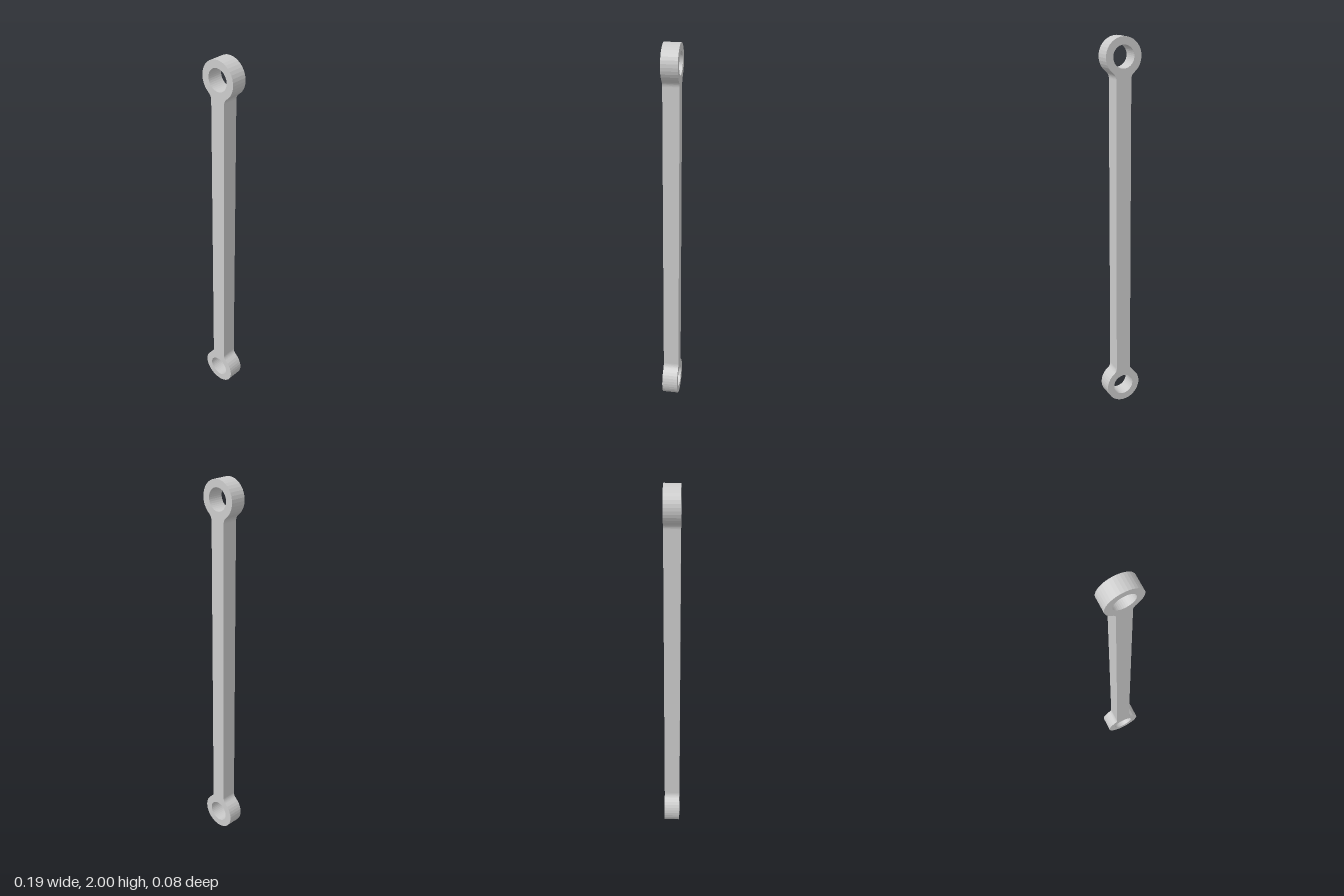
import * as THREE from 'three';

const EYE_R = 0.096, HOLE_R = 0.057, BAR_HALF = 0.041, DEPTH = 0.084, FILLET = 0.04;
const EYE_Y = 1 - EYE_R; // eye centre distance from the middle of the rod

// Points along an arc, ends included
function arc(cx, cy, r, from, to, steps) {
  return Array.from({ length: steps + 1 }, (_, i) => {
    const a = from + (to - from) * i / steps;
    return new THREE.Vector2(cx + r * Math.cos(a), cy + r * Math.sin(a));
  });
}

export function createModel() {
  const group = new THREE.Group();
  group.name = 'connectingRod';

  // Fillet circle touches both the bar side and the eye
  const fx = BAR_HALF + FILLET;
  const drop = Math.sqrt((EYE_R + FILLET) ** 2 - fx ** 2);
  const tangent = Math.atan2(drop, fx);

  // Upper half outline: right fillet, round the eye, left fillet
  const half = [
    ...arc(fx, EYE_Y - drop, FILLET, Math.PI, Math.PI - tangent, 8),
    ...arc(0, EYE_Y, EYE_R, -tangent, Math.PI + tangent, 28).slice(1, -1),
    ...arc(-fx, EYE_Y - drop, FILLET, tangent, 0, 8),
  ];
  // Lower half is the upper one turned by 180 degrees
  const outline = [...half, ...half.map((p) => p.clone().negate())];

  const shape = new THREE.Shape(outline);
  for (const s of [1, -1]) {
    shape.holes.push(new THREE.Path(arc(0, s * EYE_Y, HOLE_R, 0, -2 * Math.PI, 36).slice(0, -1)));
  }

  const geometry = new THREE.ExtrudeGeometry(shape, { depth: DEPTH, bevelEnabled: false });
  geometry.translate(0, 1, -DEPTH / 2);
  const rod = new THREE.Mesh(
    geometry,
    new THREE.MeshStandardMaterial({ color: 0xcccccc, flatShading: true }),
  );
  rod.name = 'rodWithEyes';
  group.add(rod);
  return group;
}
